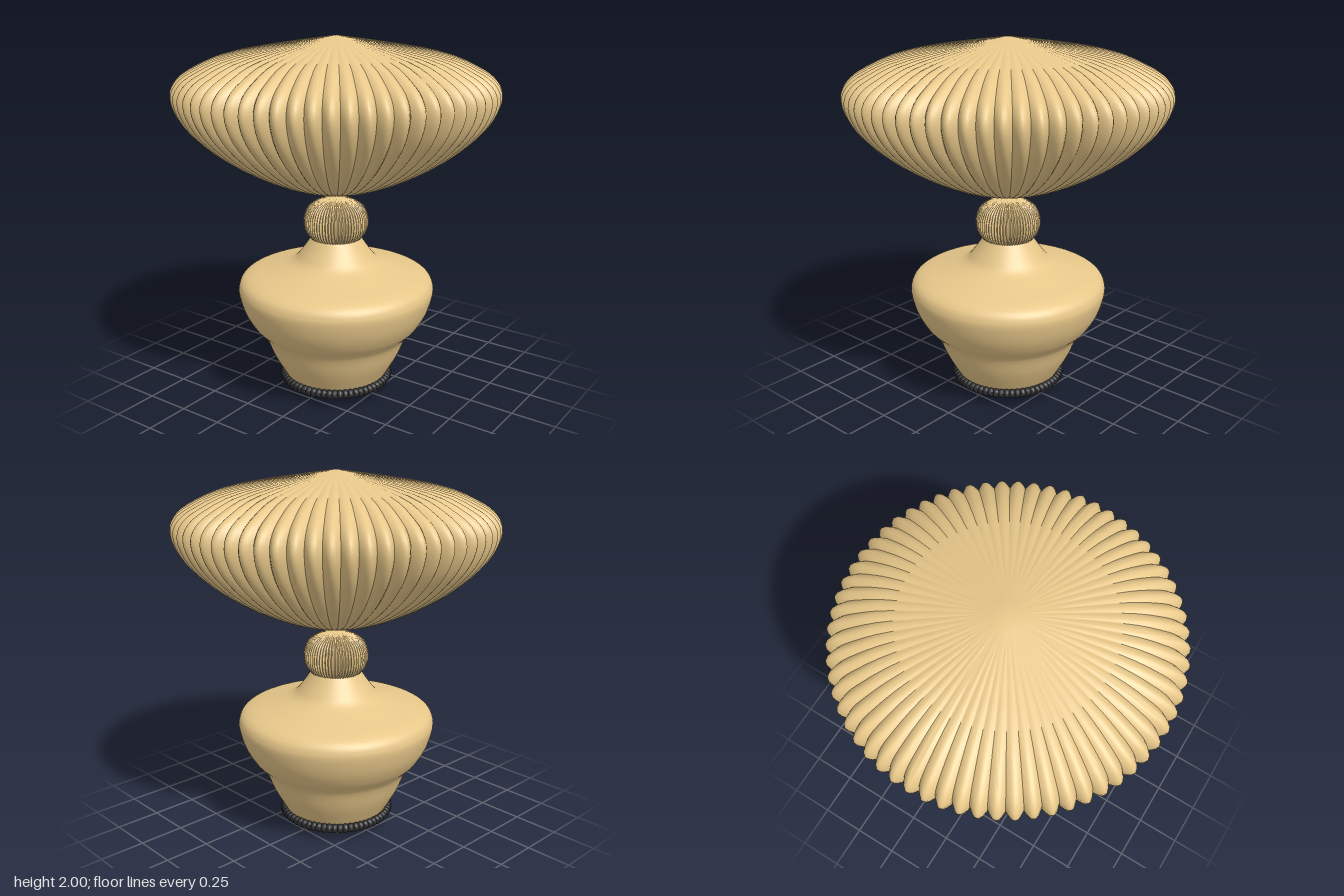
import * as THREE from 'three';
import { toCreasedNormals } from 'three/addons/utils/BufferGeometryUtils.js';

const RIBS = 64;
const tan = new THREE.MeshStandardMaterial({ color: 0xe8c88a });
const black = new THREE.MeshStandardMaterial({ color: 0x2c2c2e });

const toPoints = (list) => list.map(([r, y]) => new THREE.Vector2(r, y));

// Smooth profile through a few [radius, height] points
function smoothProfile(list, steps) {
  const points = new THREE.SplineCurve(toPoints(list)).getPoints(steps);
  points.forEach((p) => { p.x = Math.max(p.x, 0); });
  return points;
}

// Lathe with rounded ribs and sharp valleys; ribs are measured from a core circle
function ribbedLathe(points, depth, coreRadius = 0) {
  const geometry = new THREE.LatheGeometry(points, RIBS * 8);
  const pos = geometry.attributes.position;
  for (let i = 0; i < pos.count; i++) {
    const x = pos.getX(i), z = pos.getZ(i);
    const r = Math.hypot(x, z), angle = Math.atan2(x, z);
    const f = 1 - depth * (1 - Math.abs(Math.cos(angle * RIBS / 2)));
    const newR = coreRadius + (r - coreRadius) * f;
    const y = coreRadius > 0 ? pos.getY(i) * f : pos.getY(i);
    pos.setXYZ(i, Math.sin(angle) * newR, y, Math.cos(angle) * newR);
  }
  return toCreasedNormals(geometry, 0.7);
}

export function createModel() {
  const group = new THREE.Group();
  const add = (name, geometry, material, y = 0) => {
    const mesh = new THREE.Mesh(geometry, material);
    mesh.name = name;
    mesh.position.y = y;
    group.add(mesh);
  };

  // Vase-shaped body with a flat underside
  const bodyProfile = [
    new THREE.Vector2(0, 0),
    ...smoothProfile([
      [0.2, 0], [0.235, 0.012], [0.258, 0.04], [0.307, 0.12], [0.36, 0.217],
      [0.402, 0.32], [0.43, 0.362], [0.475, 0.41], [0.52, 0.49], [0.546, 0.58],
      [0.544, 0.63], [0.52, 0.667], [0.465, 0.693], [0.36, 0.722], [0.245, 0.762],
      [0.19, 0.82], [0.135, 0.9],
    ], 80),
    new THREE.Vector2(0, 0.9),
  ];
  add('body', toCreasedNormals(new THREE.LatheGeometry(bodyProfile, 96), 0.6), tan);

  // Dark beaded ring around the foot
  const ringProfile = Array.from({ length: 17 }, (_, i) => {
    const a = (i / 16) * Math.PI * 2;
    return new THREE.Vector2(0.297 + 0.027 * Math.cos(a), 0.027 * Math.sin(a));
  });
  add('footRing', ribbedLathe(ringProfile, 0.25, 0.297), black, 0.074);

  // Finely ribbed knob on the neck
  const knobProfile = [
    new THREE.Vector2(0, 0.895),
    ...smoothProfile([
      [0.142, 0.895], [0.168, 0.93], [0.18, 0.98], [0.174, 1.03],
      [0.15, 1.075], [0.09, 1.11], [0, 1.133],
    ], 20),
  ];
  add('neckKnob', ribbedLathe(knobProfile, 0.06), tan);

  // Wide fluted cap, pointed above and below
  const capProfile = smoothProfile([
    [0, 1.133], [0.25, 1.196], [0.46, 1.286], [0.645, 1.4], [0.78, 1.52],
    [0.849, 1.62], [0.87, 1.71], [0.835, 1.78], [0.75, 1.836], [0.59, 1.9],
    [0.275, 1.958], [0, 2],
  ], 30);
  add('flutedCap', ribbedLathe(capProfile, 0.05), tan);

  return group;
}
